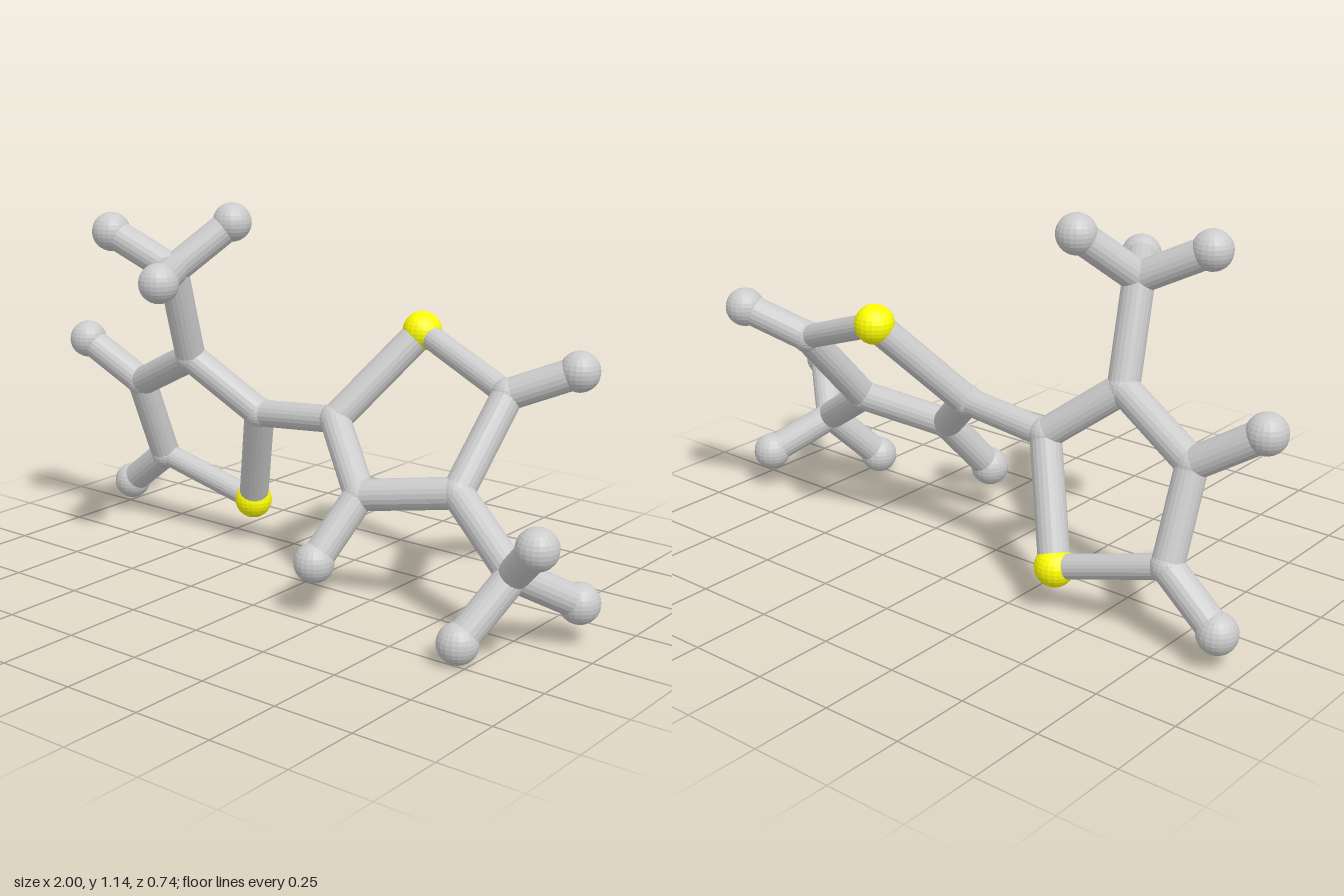
import * as THREE from 'three';

const grey = new THREE.MeshStandardMaterial({ color: 0xcccccc, flatShading: true });
const yellow = new THREE.MeshStandardMaterial({ color: 0xffff00, flatShading: true });

const BALL = 0.06, JOINT = 0.05, ROD = 0.047, THIN = 0.037;

// Atom centres: s = sulfur, c = carbon, h = hydrogen
const leftRing = {
  s1: [-0.38, 0.145, -0.2],
  c2: [-0.25, 0.485, -0.08],
  c3: [-0.46, 0.65, 0.005],
  c4: [-0.74, 0.515, -0.06],
  c5: [-0.74, 0.245, -0.165],
  h4: [-0.94, 0.64, -0.015],
  h5: [-0.92, 0.11, -0.185],
  c6: [-0.43, 0.945, 0.11],
  h6: [-0.635, 1.05, 0.165],
  h7: [-0.32, 1.085, -0.04],
  h8: [-0.3, 0.947, 0.31],
};
const rightRing = {
  s1: [0.215, 0.775, -0.295],
  c2: [0.05, 0.515, -0.08],
  c3: [0.25, 0.35, 0.06],
  c4: [0.54, 0.395, -0.015],
  c5: [0.565, 0.645, -0.228],
  h3: [0.195, 0.17, 0.205],
  h5: [0.75, 0.725, -0.312],
  c6: [0.79, 0.235, 0.08],
  h6: [0.935, 0.375, 0.203],
  h7: [0.715, 0.065, 0.233],
  h8: [0.905, 0.13, -0.087],
};

const ringBonds = ['s1 c2', 'c2 c3', 'c3 c4', 'c4 c5', 'c5 s1'];
const methylBonds = ['c6 h6', 'c6 h7', 'c6 h8'];

function makeAtom(type, p) {
  const radius = type === 'c' ? JOINT : BALL;
  const mesh = new THREE.Mesh(new THREE.SphereGeometry(radius, 20, 14), type === 's' ? yellow : grey);
  mesh.name = { s: 'sulfurAtom', c: 'carbonJoint', h: 'hydrogenAtom' }[type];
  mesh.position.set(...p);
  return mesh;
}

// Cylinder running from point a to point b
function makeBond(a, b, radius = ROD) {
  const start = new THREE.Vector3(...a), end = new THREE.Vector3(...b);
  const dir = end.clone().sub(start);
  const mesh = new THREE.Mesh(new THREE.CylinderGeometry(radius, radius, dir.length(), 20), grey);
  mesh.name = 'bond';
  mesh.position.copy(start).add(end).multiplyScalar(0.5);
  mesh.quaternion.setFromUnitVectors(new THREE.Vector3(0, 1, 0), dir.normalize());
  return mesh;
}

function makeRing(name, atoms, sideBonds) {
  const group = new THREE.Group();
  group.name = name;
  for (const [key, p] of Object.entries(atoms)) group.add(makeAtom(key[0], p));
  for (const pair of [...ringBonds, ...sideBonds, ...methylBonds]) {
    const [a, b] = pair.split(' ');
    group.add(makeBond(atoms[a], atoms[b], pair === 'c5 s1' ? THIN : ROD));
  }
  return group;
}

export function createModel() {
  const model = new THREE.Group();
  model.name = 'molecule';
  model.add(makeRing('rightSideRing', leftRing, ['c4 h4', 'c5 h5', 'c3 c6']));
  model.add(makeRing('leftSideRing', rightRing, ['c3 h3', 'c5 h5', 'c4 c6']));

  // Bond joining the two rings
  const link = makeBond(leftRing.c2, rightRing.c2, 0.042);
  link.name = 'linkingBond';
  model.add(link);
  return model;
}
